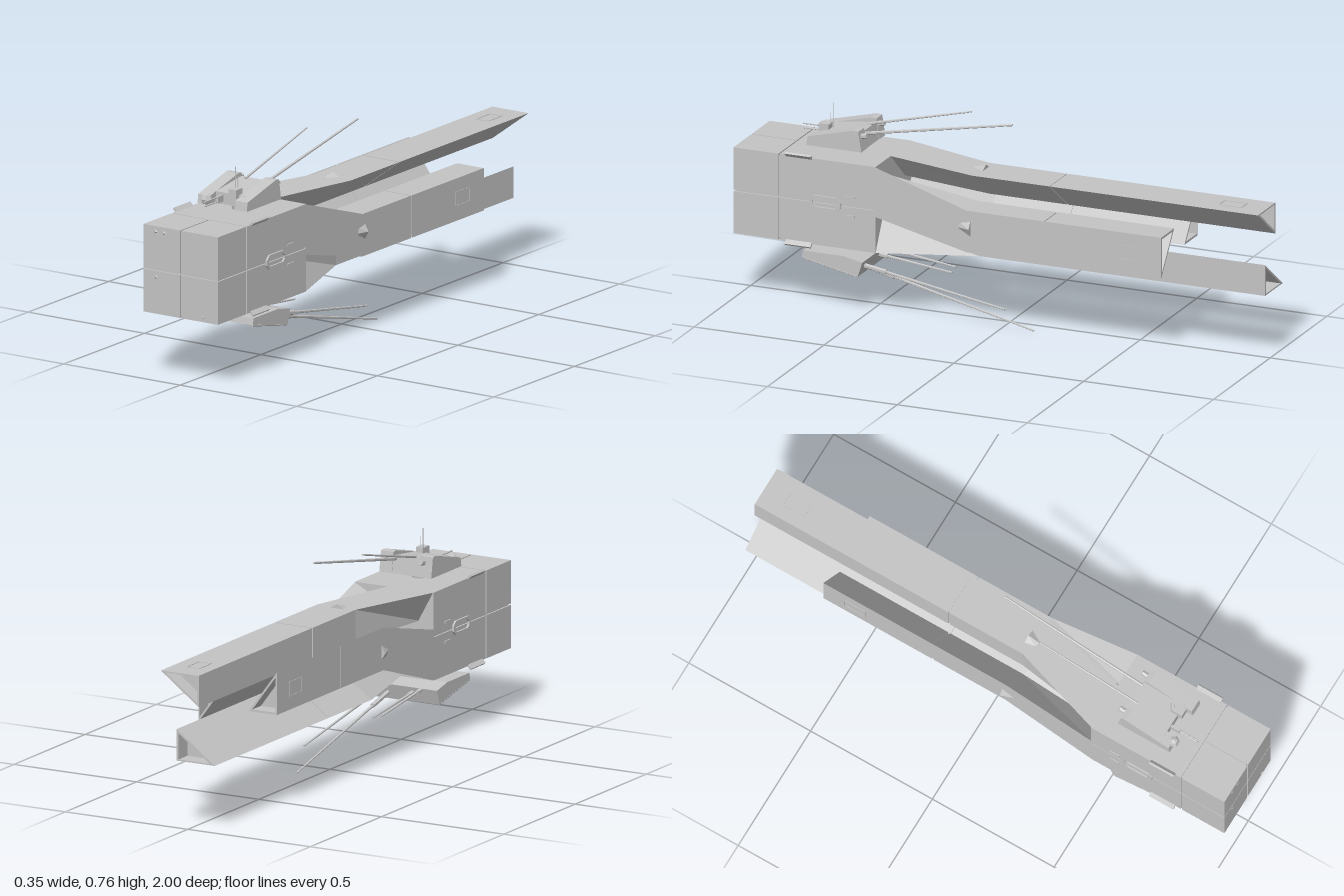
import * as THREE from 'three';

const hullGrey = new THREE.MeshStandardMaterial({ color: 0xc4c4c4, flatShading: true });
hullGrey.name = 'hullGrey';
const MID = 0.405; // height of the ship's long axis

function add(parent, name, geo, x = 0, y = 0, z = 0) {
  const m = new THREE.Mesh(geo, hullGrey);
  m.name = name;
  m.position.set(x, y, z);
  parent.add(m);
  return m;
}
function box(parent, name, x0, x1, y0, y1, z0, z1) {
  return add(parent, name, new THREE.BoxGeometry(x1 - x0, y1 - y0, z1 - z0),
    (x0 + x1) / 2, (y0 + y1) / 2, (z0 + z1) / 2);
}

// Skin through sections [z, ring], front to back; rings run counter-clockwise seen from +z
function loft(sections) {
  const pos = [];
  const n = sections[0][1].length;
  const put = (s, i) => pos.push(...sections[s][1][i % n], sections[s][0]);
  for (let s = 0; s + 1 < sections.length; s++) {
    for (let i = 0; i < n; i++) {
      put(s, i); put(s + 1, i); put(s, i + 1);
      put(s, i + 1); put(s + 1, i); put(s + 1, i + 1);
    }
  }
  const last = sections.length - 1;
  for (let i = 1; i + 1 < n; i++) {
    put(0, 0); put(0, i); put(0, i + 1);
    put(last, 0); put(last, i + 1); put(last, i);
  }
  const g = new THREE.BufferGeometry();
  g.setAttribute('position', new THREE.Float32BufferAttribute(pos, 3));
  g.computeVertexNormals();
  return g;
}

function rod(parent, name, a, b, r0, r1 = r0) {
  const p = new THREE.Vector3(...a), q = new THREE.Vector3(...b);
  const d = q.clone().sub(p);
  const m = add(parent, name, new THREE.CylinderGeometry(r1, r0, d.length(), 6));
  m.position.copy(p).add(q).multiplyScalar(0.5);
  m.quaternion.setFromUnitVectors(new THREE.Vector3(0, 1, 0), d.normalize());
  return m;
}

// Side profile of [z, y] points extruded across x
function sideProfile(points, x0, x1) {
  const s = new THREE.Shape(points.map(([z, y]) => new THREE.Vector2(-z, y)));
  const g = new THREE.ExtrudeGeometry(s, { depth: x1 - x0, bevelEnabled: false });
  return g.rotateY(Math.PI / 2).translate(x0, 0, 0);
}

// Rectangular or rounded raised frame lying in the xy plane
function frameGeometry(w, h, t, depth, r = 0.001) {
  const path = (P, hw, hh, c) => {
    const p = new P();
    p.moveTo(-hw + c, -hh); p.lineTo(hw - c, -hh); p.lineTo(hw, -hh + c); p.lineTo(hw, hh - c);
    p.lineTo(hw - c, hh); p.lineTo(-hw + c, hh); p.lineTo(-hw, hh - c); p.lineTo(-hw, -hh + c);
    p.closePath();
    return p;
  };
  const s = path(THREE.Shape, w / 2, h / 2, r);
  s.holes.push(path(THREE.Path, w / 2 - t, h / 2 - t, r * 0.7));
  return new THREE.ExtrudeGeometry(s, { depth, bevelEnabled: false });
}

function buildHull(root) {
  const hull = new THREE.Group();
  hull.name = 'hull';
  root.add(hull);
  box(hull, 'hullCore', -0.154, 0.154, 0.251, 0.559, 0.455, 0.99);
  // Armour blocks separated by narrow seams
  for (const sy of [-1, 1]) {
    const y = [MID + sy * 0.003, MID + sy * 0.16].sort((a, b) => a - b);
    box(hull, 'rearBlock', -0.16, 0.16, ...y, 0.45, 0.818);
    for (const sx of [-1, 1]) {
      const x = [sx * 0.003, sx * 0.16].sort((a, b) => a - b);
      box(hull, 'noseBlock', ...x, ...y, 0.823, 0.997);
      // Corner fins along the block edges
      const fin = add(hull, 'cornerFin', new THREE.BoxGeometry(0.022, 0.008, 0.1),
        sx * 0.163, MID + sy * 0.163, 0.745);
      fin.rotation.z = sx * sy * Math.PI / 4;
    }
  }
  // Side hatches and slots
  for (const sx of [-1, 1]) {
    const hatch = add(hull, 'sideHatch', frameGeometry(0.12, 0.052, 0.01, 0.008, 0.016),
      sx * 0.159, MID, 0.642);
    hatch.rotation.y = sx * Math.PI / 2;
    for (const y of [0.44, 0.368])
      add(hull, 'sideSlot', new THREE.BoxGeometry(0.006, 0.009, 0.038), sx * 0.161, y, 0.548);
  }
  // Small triangular lugs on the nose
  for (const [x, y] of [[-0.107, 0.545], [-0.072, 0.545], [-0.105, 0.38], [0.098, 0.264]]) {
    const lug = add(hull, 'noseLug', new THREE.CylinderGeometry(0.004, 0.011, 0.004, 3), x, y, 0.998);
    lug.rotation.set(Math.PI / 2, x * 6, 0);
  }
}

// Triangular tail beam, drawn for the top side and turned for the other three
function buildBeam(root, name, quarter, end) {
  const beam = new THREE.Group();
  beam.name = name;
  beam.position.y = MID;
  beam.rotation.z = -quarter * Math.PI / 2;
  root.add(beam);
  const root3 = [[-0.1, 0.05], [0.025, 0.16], [-0.16, 0.16]];
  const ring = [[-0.045, 0.045], [0.11, 0.16], [-0.045, 0.16]];
  const cx = 0.0, cy = 0.13;
  const shrink = (k) => ring.map(([x, y]) => [cx + (x - cx) * k, cy + (y - cy) * k]);
  const inner = shrink(0.82);
  add(beam, 'beamRoot', loft([[0.455, root3], [0.1, ring], [-0.198, ring]]));
  add(beam, 'beamJoint', loft([[-0.19, shrink(0.93)], [-0.21, shrink(0.93)]]));
  add(beam, 'beamTail', loft([[-0.204, ring], [end, ring], [end, inner], [end + 0.06, inner]]));
  // Outer service frame near the tip and a small fin near the bend
  const frame = add(beam, 'serviceFrame', frameGeometry(0.055, 0.09, 0.004, 0.003), 0.03, 0.159, end + 0.13);
  frame.rotation.x = -Math.PI / 2;
  add(beam, 'beamFin', loft([
    [0.13, [[0.0, 0.157], [0.035, 0.157], [0.02, 0.162]]],
    [0.085, [[-0.01, 0.157], [0.055, 0.157], [0.02, 0.176]]],
  ]));
}

function buildTopTurret(root) {
  const t = new THREE.Group();
  t.name = 'topTurret';
  root.add(t);
  add(t, 'topPedestal', new THREE.CylinderGeometry(0.032, 0.028, 0.035, 16), 0, 0.58, 0.63);
  add(t, 'topTurretBody', sideProfile(
    [[0.70, 0.592], [0.70, 0.635], [0.54, 0.655], [0.53, 0.592]], -0.07, 0.07));
  // Raised cheeks either side
  for (const s of [-1, 1]) {
    const x = [s * 0.055, s * 0.106].sort((a, b) => a - b);
    add(t, 'turretCheek', sideProfile(
      [[0.74, 0.592], [0.735, 0.625], [0.56, 0.669], [0.54, 0.667], [0.528, 0.592]], ...x));
  }
  add(t, 'turretDome', new THREE.SphereGeometry(0.022, 6, 4), -0.07, 0.612, 0.735);
  box(t, 'sensorBox', 0.013, 0.045, 0.625, 0.657, 0.68, 0.72);
  box(t, 'visor', -0.032, -0.022, 0.602, 0.626, 0.69, 0.735);
  rod(t, 'tallMast', [0.013, 0.63, 0.675], [0.013, 0.73, 0.675], 0.0015);
  rod(t, 'shortMast', [0.027, 0.65, 0.68], [0.027, 0.697, 0.68], 0.0015);
  for (const y of [0.607, 0.623])
    rod(t, 'foreBarrel', [-0.027, y, 0.72], [-0.027, y, 0.81], 0.003);
  rod(t, 'shortGun', [-0.025, 0.655, 0.56], [-0.035, 0.75, 0.165], 0.005, 0.003);
  rod(t, 'longGun', [0.045, 0.64, 0.56], [0.049, 0.752, -0.03], 0.006, 0.004);
  for (const x of [-0.07, 0.085])
    rod(t, 'gunSleeve', [x, 0.64, 0.56], [x, 0.65, 0.515], 0.01);
}

function buildBottomTurret(root) {
  const t = new THREE.Group();
  t.name = 'bottomTurret';
  root.add(t);
  add(t, 'bottomPedestal', new THREE.CylinderGeometry(0.026, 0.017, 0.045, 12), 0, 0.225, 0.63)
    .scale.z = 1.8;
  add(t, 'bottomTurretBody', sideProfile(
    [[0.74, 0.208], [0.745, 0.183], [0.53, 0.137], [0.512, 0.192], [0.585, 0.208]], -0.139, 0.135));
  // Ribs across the sloping underside
  for (const x of [-0.136, 0.132])
    rod(t, 'edgeRib', [x, 0.182, 0.742], [x, 0.139, 0.535], 0.004);
  const spike = add(t, 'undersideSpike', new THREE.ConeGeometry(0.014, 0.025, 4), 0.028, 0.13, 0.56);
  spike.rotation.x = Math.PI;
  const guns = [
    [[-0.07, 0.19, 0.55], [-0.07, 0.15, 0.24]],
    [[-0.035, 0.175, 0.55], [-0.035, 0.14, 0.24]],
    [[0.095, 0.175, 0.55], [0.095, 0.078, -0.02]],
    [[0.068, 0.165, 0.55], [0.068, 0.004, -0.12]],
  ];
  for (const [a, b] of guns) {
    rod(t, 'lowerGun', a, b, 0.006, 0.0035);
    const mid = a.map((v, i) => v + (b[i] - v) * 0.2);
    rod(t, 'lowerGunSleeve', a, mid, 0.009);
  }
}

export function createModel() {
  const root = new THREE.Group();
  root.name = 'warship';
  buildHull(root);
  buildBeam(root, 'topBeam', 0, -1);
  buildBeam(root, 'leftBeam', 1, -0.65);
  buildBeam(root, 'bottomBeam', 2, -1);
  buildBeam(root, 'rightBeam', 3, -0.65);
  buildTopTurret(root);
  buildBottomTurret(root);
  return root;
}
